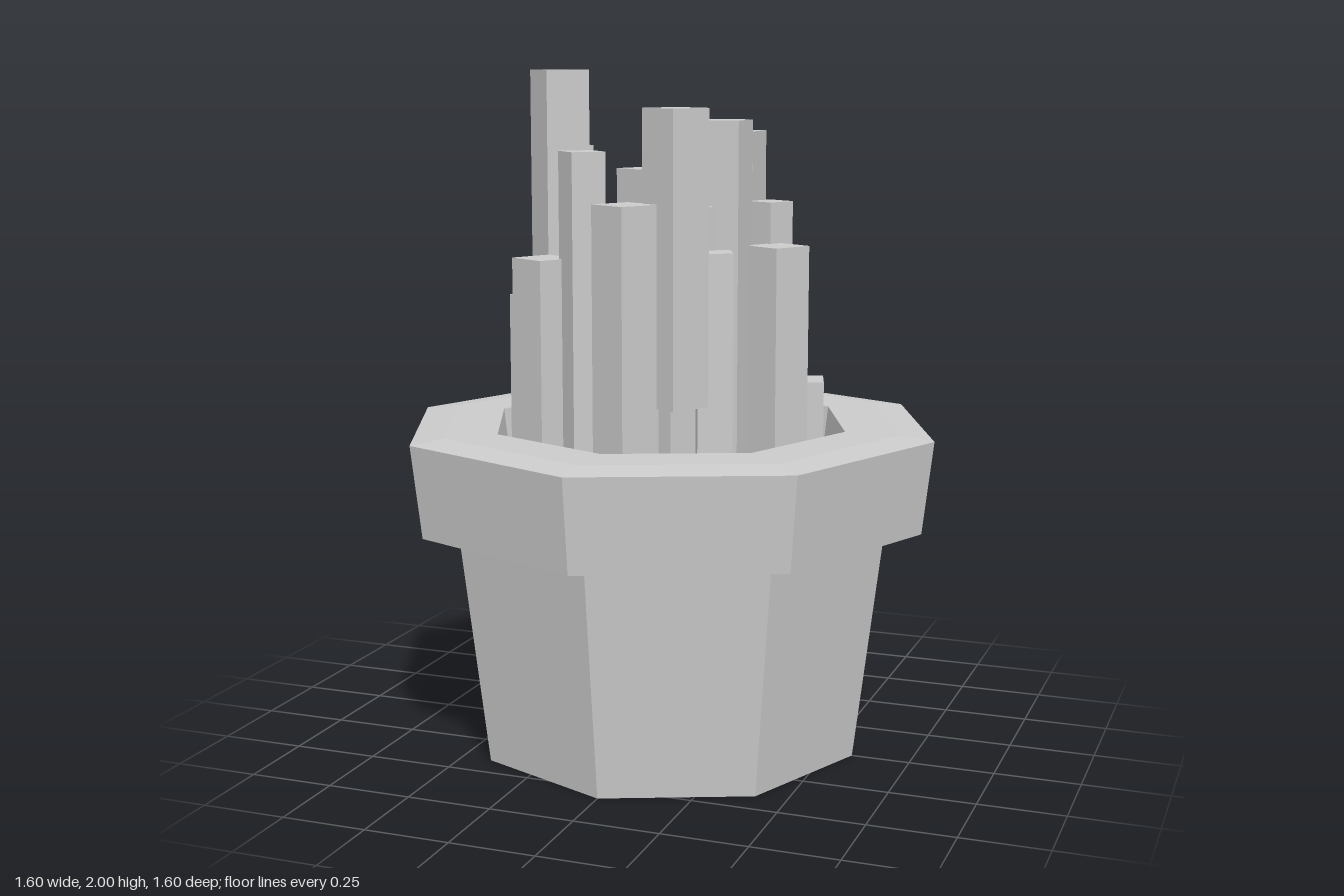
import * as THREE from 'three';

const SOIL = 0.85;

export function createModel() {
  const group = new THREE.Group();
  const material = new THREE.MeshStandardMaterial({ color: 0xcccccc, flatShading: true });

  // Eight-sided solids turned from [radius, height] profiles, corners on the axes
  const turned = (name, profile) => {
    const points = profile.map(([r, y]) => new THREE.Vector2(r, y));
    const mesh = new THREE.Mesh(new THREE.LatheGeometry(points, 8), material);
    mesh.name = name;
    group.add(mesh);
  };
  turned('potBody', [[0, 0], [0.577, 0], [0.662, 0.69]]);
  turned('potRim', [[0.662, 0.69], [0.77, 0.69], [0.802, 0.962], [0.70, 0.974], [0.54, 0.974], [0.525, SOIL]]);
  turned('soil', [[0.525, SOIL], [0, SOIL]]);

  // Square sticks sharing a width and a clockwise turn; each spot is [x, z, top, base]
  const sticks = (name, width, degrees, spots) => {
    const bunch = new THREE.Group();
    bunch.name = name;
    for (const [x, z, top, base = SOIL] of spots) {
      const stick = new THREE.Mesh(new THREE.BoxGeometry(width, top - base, width), material);
      stick.name = 'stick';
      stick.position.set(x, (top + base) / 2, z);
      stick.rotation.y = -THREE.MathUtils.degToRad(degrees);
      bunch.add(stick);
    }
    group.add(bunch);
  };
  sticks('straightSticks', 0.13, 0, [
    [0.135, -0.235, 1.82], [0.21, -0.22, 1.39], [0.16, -0.105, 1.4],
    [0, -0.015, 1.3], [0.18, 0.035, 1.86], [-0.07, 0.12, 1.25],
  ]);
  sticks('thinStraightStick', 0.085, 0, [[0.005, -0.12, 1.3]]);
  sticks('diagonalSticks', 0.13, 45, [
    [-0.29, 0.125, 2], [-0.165, 0.21, 1.55], [0.035, 0.07, 1.5], [-0.07, 0.275, 1.4],
  ]);
  sticks('thinDiagonalSticks', 0.1, 45, [
    [-0.325, -0.18, 1.3], [-0.21, -0.115, 1.52], [-0.315, -0.015, 1.78],
    [-0.365, 0.05, 1.13], [-0.055, 0.11, 1.6], [-0.13, 0.345, 1.78],
  ]);
  // The last of these stands clear of the soil
  sticks('clockwiseSticks', 0.13, 29, [
    [-0.11, -0.11, 1.71], [0.32, -0.035, 1.5], [-0.315, 0.215, 1.36], [0.085, 0.2, 1.25],
    [-0.25, 0.335, 1.48], [0.015, 0.39, 1.64], [0.135, 0.315, 1.9, 1.075],
  ]);
  sticks('thinClockwiseSticks', 0.093, 27, [[-0.12, -0.375, 1.3], [0.265, -0.14, 1.62], [0.12, 0.14, 1.62]]);
  sticks('counterSticks', 0.13, -17, [
    [0.015, -0.4, 1.51], [0.16, -0.37, 1.26], [-0.19, -0.275, 1.38], [0.355, -0.18, 1.09],
  ]);
  sticks('thinCounterSticks', 0.1, -24, [[0.21, 0.205, 1.5], [-0.09, -0.27, 1.25]]);
  return group;
}
